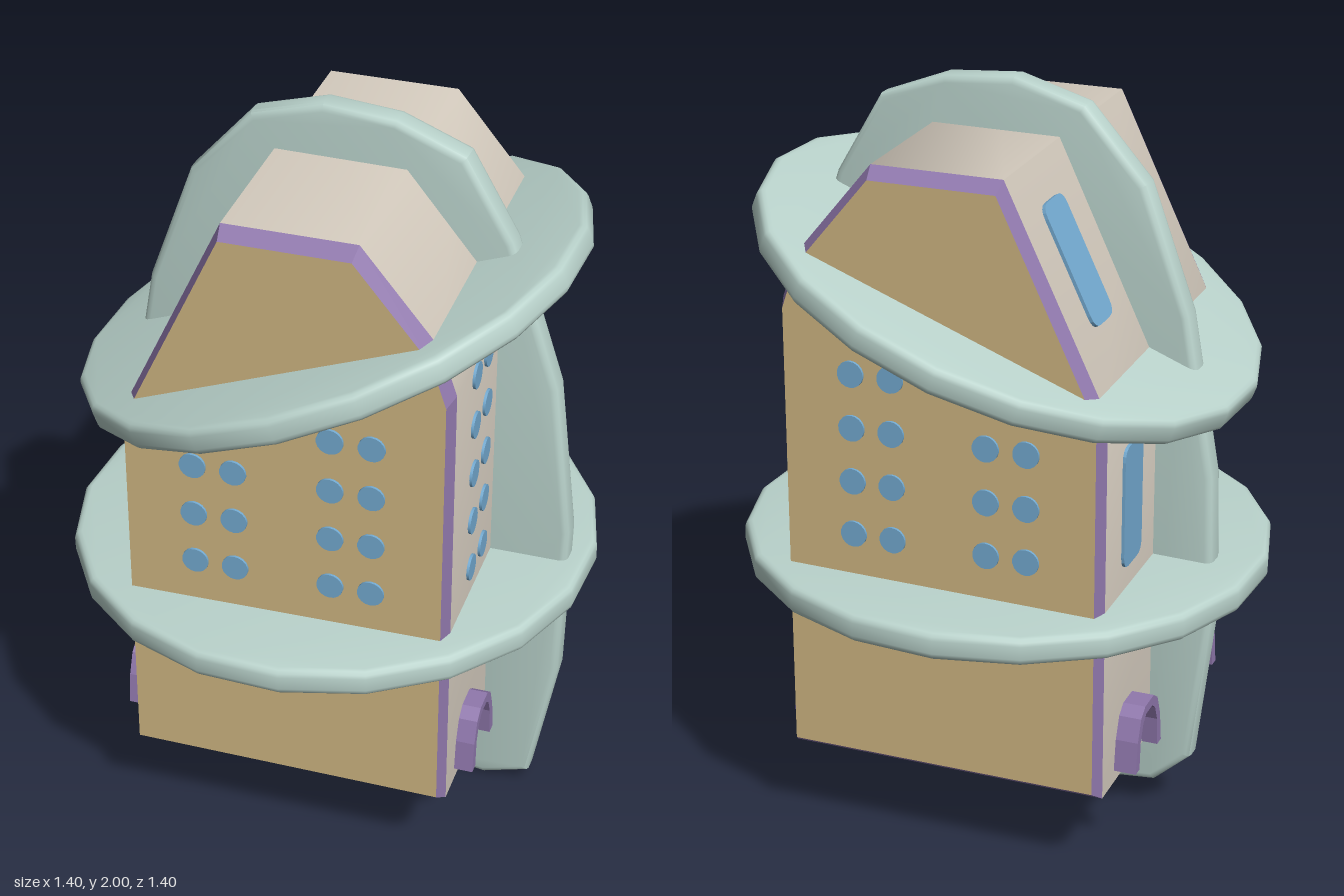
import * as THREE from 'three';
import { toCreasedNormals } from 'three/addons/utils/BufferGeometryUtils.js';

const mat = (name, color, side = THREE.FrontSide) => {
  const m = new THREE.MeshStandardMaterial({ color, side });
  m.name = name;
  return m;
};

const vectors = (pts) => pts.map(([x, y]) => new THREE.Vector2(x, y));
const polygon = (pts) => new THREE.Shape(vectors(pts));

// Slab with a softly rounded rim, centred on its own plane
function slab(pts, thickness) {
  const b = 0.02;
  const g = new THREE.ExtrudeGeometry(polygon(pts), {
    depth: thickness - 2 * b, bevelThickness: b, bevelSize: b, bevelOffset: -b, bevelSegments: 3,
  });
  g.translate(0, 0, b - thickness / 2);
  return toCreasedNormals(g, 0.6);
}

// Band of quads between a front outline and a back outline (counter-clockwise)
function band(front, zFront, back, zBack, first = 0) {
  const pos = [];
  for (let i = first; i < front.length; i++) {
    const j = (i + 1) % front.length;
    const aF = [...front[i], zFront], bF = [...front[j], zFront];
    const aB = [...back[i], zBack], bB = [...back[j], zBack];
    pos.push(...aF, ...aB, ...bB, ...aF, ...bB, ...bF);
  }
  const g = new THREE.BufferGeometry();
  g.setAttribute('position', new THREE.Float32BufferAttribute(pos, 3));
  g.computeVertexNormals();
  return g;
}

function roundedPlate(w, h, r, depth) {
  const s = new THREE.Shape();
  const x = w / 2, y = h / 2;
  s.moveTo(-x + r, -y);
  s.lineTo(x - r, -y).quadraticCurveTo(x, -y, x, -y + r);
  s.lineTo(x, y - r).quadraticCurveTo(x, y, x - r, y);
  s.lineTo(-x + r, y).quadraticCurveTo(-x, y, -x, y - r);
  s.lineTo(-x, -y + r).quadraticCurveTo(-x, -y, -x + r, -y);
  return new THREE.ExtrudeGeometry(s, { depth, bevelEnabled: false, curveSegments: 4 });
}

export function createModel() {
  const model = new THREE.Group();
  const wall = mat('stone wall', 0xd3cabd, THREE.DoubleSide);
  const tan = mat('tan gable', 0xd0b783, THREE.DoubleSide);
  const purple = mat('purple trim', 0x9078ad, THREE.DoubleSide);
  const teal = mat('pale teal', 0xb9d2cb);
  const blue = mat('window blue', 0x74abd2);

  const add = (name, geo, material, x = 0, y = 0, z = 0, parent = model) => {
    const m = new THREE.Mesh(geo, material);
    m.name = name;
    m.position.set(x, y, z);
    parent.add(m);
    return m;
  };

  // House shell, open underneath
  const outer = [
    [-0.425, 0.235], [0.435, 0.235], [0.435, 1.49], [0.395, 1.61],
    [0.19, 1.86], [-0.155, 1.86], [-0.425, 1.29],
  ];
  const inner = outer.map(([x, y]) => [x * 0.965, 1.047 + (y - 1.047) * 0.965]);
  const zWall = 0.425, zFace = 0.465;
  add('wallsAndRoof', toCreasedNormals(band(outer, zWall, outer, -zWall, 1), 0.95), wall);
  add('frontTrim', band(inner, zFace, outer, zWall), purple);
  add('backTrim', band(outer, -zWall, inner, -zFace), purple);
  add('frontGable', new THREE.ShapeGeometry(polygon(inner)), tan, 0, 0, zFace);
  const backGeo = new THREE.ShapeGeometry(polygon(inner.map(([x, y]) => [-x, y])));
  add('backGable', backGeo.rotateY(Math.PI), tan, 0, 0, -zFace);

  // Round windows on the gables and the +x wall
  const disc = new THREE.CylinderGeometry(0.035, 0.035, 0.014, 18);
  const discZ = disc.clone().rotateX(Math.PI / 2);
  const discX = disc.clone().rotateZ(Math.PI / 2);
  for (const x of [-0.23, -0.123, 0.13, 0.237]) {
    for (let row = 0; row < (x > 0 ? 4 : 3); row++) {
      for (const z of [zFace, -zFace]) add('gableWindow', discZ, blue, x, 0.89 + row * 0.145, z);
    }
  }
  for (const z of [0.25, 0.142, -0.113, -0.22]) {
    for (let row = 0; row < 5; row++) add('sideWindow', discX, blue, 0.435, 0.865 + row * 0.145, z);
  }

  // Tall windows on the -x wall and the steep roof above it
  const tall = roundedPlate(0.135, 0.33, 0.035, 0.009).rotateY(-Math.PI / 2);
  for (const z of [-0.24, 0.22]) {
    add('wallWindow', tall, blue, -0.424, 0.995, z);
    add('roofWindow', tall, blue, -0.272, 1.613, z).rotation.z = -Math.atan2(0.27, 0.57);
  }

  // Arched doorways on both sides
  const half = [[0.102, 0], [0.09, 0.085], [0.066, 0.143], [0.034, 0.165]];
  const halfIn = [[0.072, 0], [0.066, 0.078], [0.047, 0.122], [0.024, 0.14]];
  const mirror = (pts) => pts.map(([x, y]) => [-x, y]).reverse();
  const outline = [...half, ...mirror(half)];
  const opening = [...halfIn, ...mirror(halfIn)];
  const frame = new THREE.ExtrudeGeometry(
    polygon([...outline, ...[...opening].reverse()]), { depth: 0.125, bevelEnabled: false });
  const door = new THREE.ExtrudeGeometry(polygon(opening), { depth: 0.008, bevelEnabled: false });
  for (const side of [1, -1]) {
    for (const z of [0.245, -0.235]) {
      const doorway = new THREE.Group();
      doorway.name = 'doorway';
      doorway.position.set(side * 0.36, 0.27, z);
      doorway.rotation.y = side * Math.PI / 2;
      add('doorFrame', frame, purple, 0, 0, 0, doorway);
      add('doorPanel', door, teal, 0, 0, 0.073, doorway);
      model.add(doorway);
    }
  }

  // Two rings of deck: one nearly level, one steeply tilted
  const ring = (r) => Array.from({ length: 20 }, (_, i) => {
    const a = THREE.MathUtils.degToRad(5.7 + 18 * i);
    return [r * Math.cos(a), r * Math.sin(a)];
  });
  const lower = slab(ring(0.703), 0.075).rotateX(-Math.PI / 2);
  add('lowerDisc', lower, teal, -0.002, 0.735, 0).rotation.z = 0.018;
  const upper = slab(ring(0.69), 0.075).rotateX(-Math.PI / 2);
  add('upperDisc', upper, teal, -0.006, 1.45, 0.005).rotation.z = 0.368;

  // Upright fin slicing through the house
  const fin = slab([
    [0.44, 0.005], [0.565, 0.045], [0.635, 0.42], [0.645, 0.87], [0.595, 1.3], [0.465, 1.7],
    [0.34, 1.915], [0.16, 1.985], [-0.03, 2.0], [-0.22, 1.945], [-0.385, 1.76], [-0.505, 1.43],
    [-0.58, 1.0], [-0.59, 0.6], [-0.54, 0.18], [-0.44, 0.09], [0.0, 0.043], [0.27, 0.025],
  ], 0.075);
  add('uprightFin', fin, teal, 0, 0, -0.005).rotation.y = -0.022;

  return model;
}
